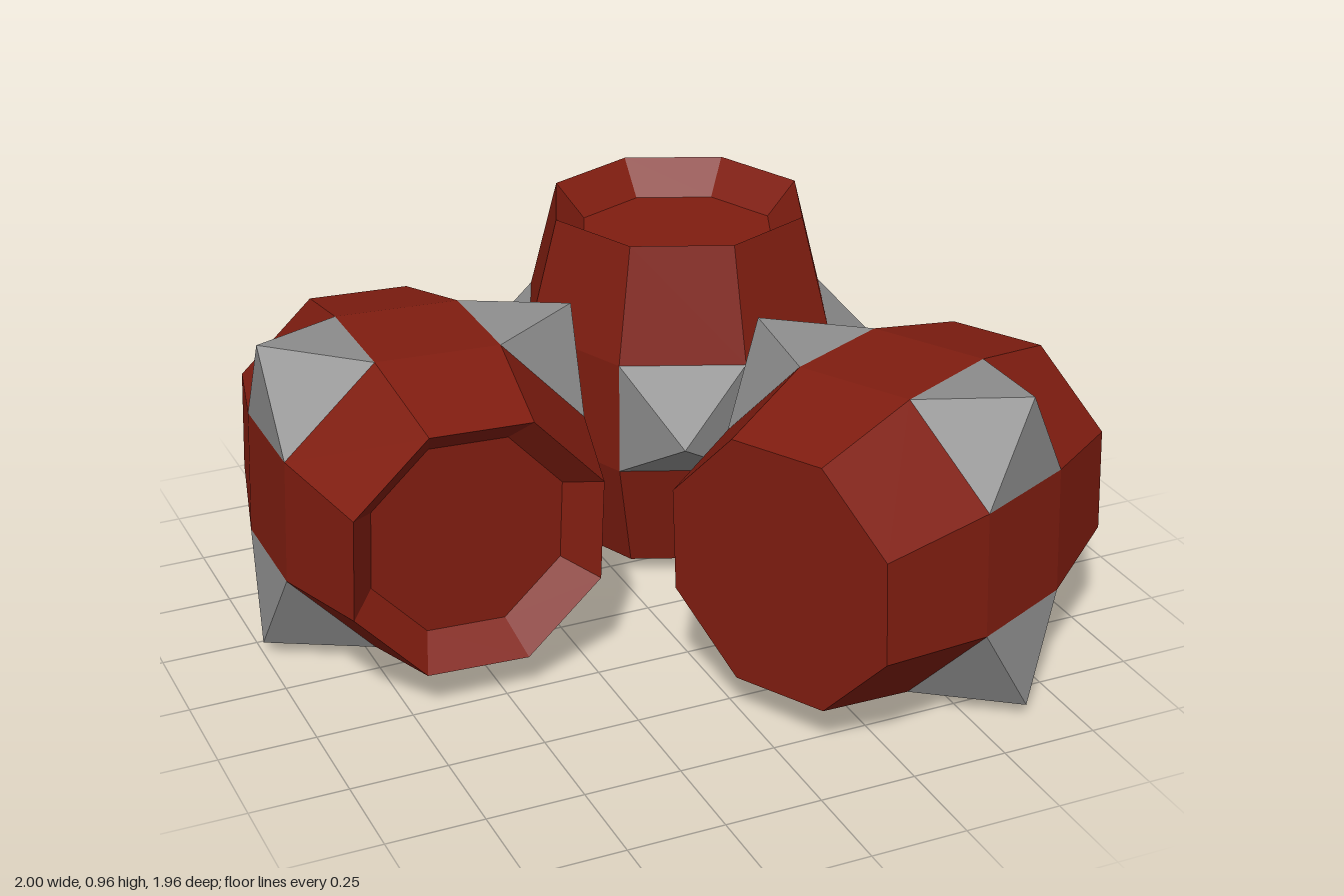
import * as THREE from 'three';

const red = new THREE.MeshStandardMaterial({ color: 0x801d10, flatShading: true });
const grey = new THREE.MeshStandardMaterial({ color: 0x8e8e8e, flatShading: true });

const SIDES = 8;
const RADIUS = 0.43;      // middle band
const BAND = 0.305;       // height of middle band
const HALF = 0.456;       // half length of a barrel
const APOTHEM = RADIUS * Math.cos(Math.PI / SIDES);
const FACE = 2 * RADIUS * Math.sin(Math.PI / SIDES);
const SPIKE = 0.191;

// Octagonal barrel: flat bottom, bulging middle, recessed top
const profile = [
  [0, -HALF], [0.35, -HALF], [RADIUS, -BAND / 2], [RADIUS, BAND / 2],
  [0.35, HALF], [0.27, HALF - 0.09], [0, HALF - 0.09],
].map(([r, y]) => new THREE.Vector2(r, y));
const bodyGeometry = new THREE.LatheGeometry(profile, SIDES).toNonIndexed();
bodyGeometry.computeVertexNormals();

// Four-sided pyramid covering one face of the middle band, pointing to +z
const spikeGeometry = new THREE.ConeGeometry(Math.SQRT1_2, SPIKE, 4)
  .rotateY(Math.PI / 4)
  .rotateX(Math.PI / 2)
  .scale(FACE, BAND, 1)
  .translate(0, 0, APOTHEM + SPIKE / 2);

function makeBarrel(name, position, rotation) {
  const barrel = new THREE.Group();
  barrel.name = name;
  const body = new THREE.Mesh(bodyGeometry, red);
  body.name = 'barrelBody';
  barrel.add(body);
  // Spikes on every second face
  for (let i = 0; i < 4; i++) {
    const spike = new THREE.Mesh(spikeGeometry, grey);
    spike.name = 'spike';
    spike.rotation.y = THREE.MathUtils.degToRad(67.5 + 90 * i);
    barrel.add(spike);
  }
  const [tilt, heading, roll] = rotation.map(THREE.MathUtils.degToRad);
  barrel.position.set(...position);
  barrel.rotation.set(tilt, heading, roll, 'YZX');
  return barrel;
}

export function createModel() {
  const model = new THREE.Group();
  model.name = 'spikedBarrels';
  model.add(
    makeBarrel('standingBarrel', [0.283, 0.502, -0.44], [0, 0, 0]),
    makeBarrel('lyingBarrelRight', [-0.567, 0.435, -0.185], [90, 0, -24.9]),
    makeBarrel('lyingBarrelFront', [0.447, 0.435, 0.486], [90, 115.2, -24.9]),
  );
  return model;
}
